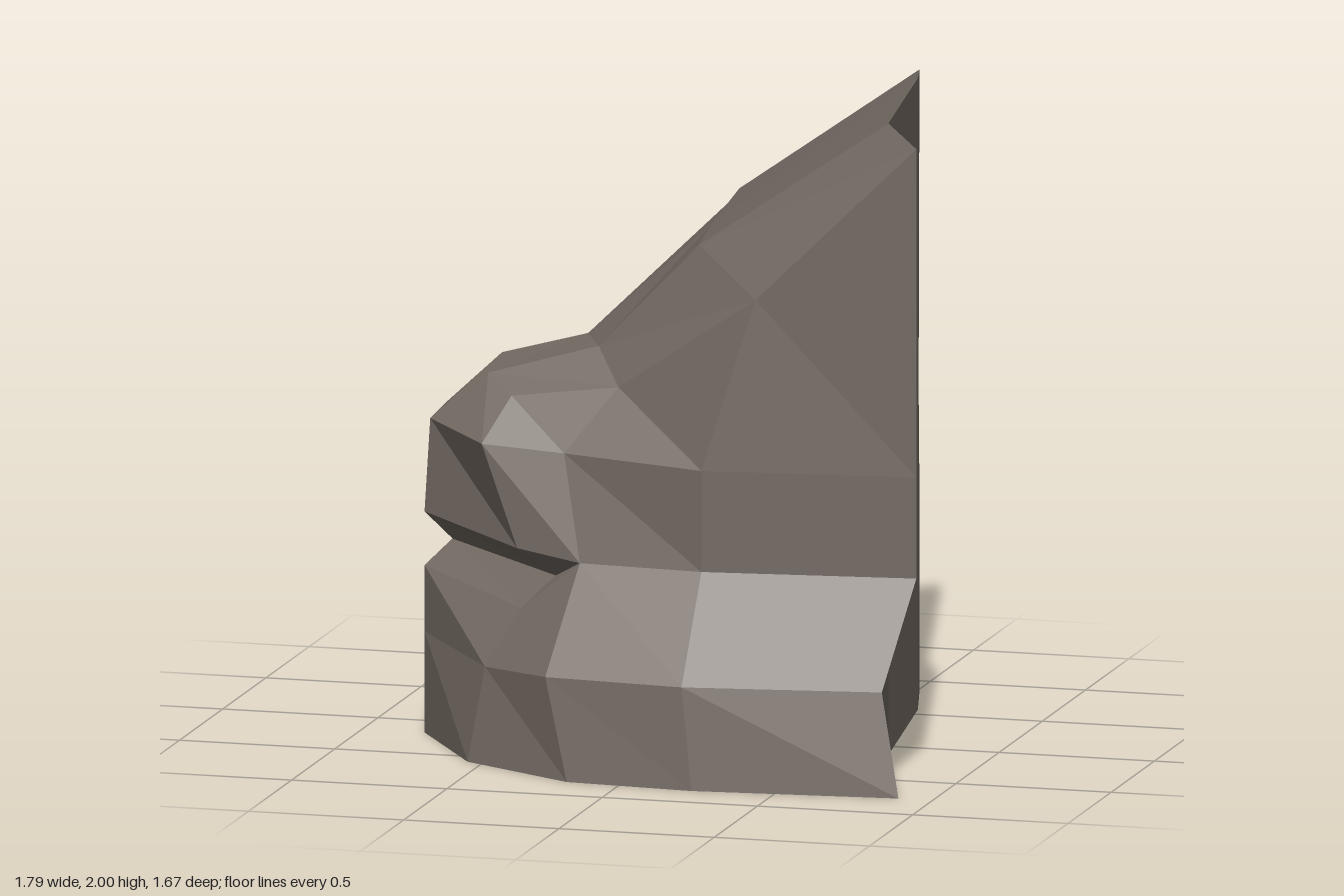
import * as THREE from 'three';

// Columns run round the rock from the front right corner, each listed bottom to top:
// ground, skirt, ledge rim, crevice, overhang lip, shoulder.
// A column with four entries has no crevice, so its middle levels coincide.
const columns = {
  A: [[.89, 0, .77], [.82, .32, .71], [.87, .64, .49], [.87, .96, .49]],
  B: [[.24, 0, .83], [.2, .32, .8], [.2, .64, .57], [.2, .96, .57]],
  C: [[-.17, 0, .8], [-.25, .32, .76], [-.2, .64, .54], [-.27, .97, .47]],
  D: [[-.55, 0, .58], [-.5, .3, .56], [-.4, .48, .5], [-.3, .58, .46], [-.41, .67, .51], [-.53, .99, .49]],
  E: [[-.8, 0, .18], [-.8, .32, .18], [-.8, .53, .18], [-.72, .61, .14], [-.8, .7, .18], [-.79, .99, .15]],
  F: [[-.83, 0, -.16], [-.84, .32, -.16], [-.83, .52, -.16], [-.74, .61, -.14], [-.83, .68, -.16], [-.81, .99, -.13]],
  G: [[-.9, 0, -.51], [-.68, .32, -.39], [-.68, .5, -.38], [-.6, .57, -.33], [-.7, .62, -.38], [-.68, 1, -.39]],
  H: [[-.7, 0, -.66], [-.5, .32, -.55], [-.5, .41, -.55], [-.4, .5, -.5], [-.5, .53, -.55], [-.5, 1.13, -.55]],
  I: [[-.15, 0, -.61], [-.15, .32, -.61], [-.15, .62, -.61], [-.15, 1.26, -.61]],
  J: [[-.08, 0, -.76], [-.08, .32, -.76], [-.08, .64, -.76], [-.08, .98, -.76]],
  K: [[.51, 0, -.84], [.51, .32, -.84], [.51, .64, -.84], [.51, .96, -.83]],
  L: [[.58, 0, -.57], [.58, .32, -.57], [.58, .64, -.57], [.58, .96, -.57]],
  M: [[.68, 0, .13], [.68, .32, .13], [.68, .64, .13], [.68, .96, .13]],
};

// Corners of the crown, above the shoulder
const crown = {
  aTop: [.87, 2, .49], mTop: [.68, 2, .13], lTop: [.58, 2, -.57], kTop: [.51, 1.97, -.84],
  brow: [.36, 1.5, .52], cheek: [-.12, 1.17, .38], lip: [-.47, 1.12, .36],
  n: [-.57, 1.17, .27], o: [-.6, 1.18, 0], r: [-.47, 1.17, -.19],
  s1: [-.22, 1.27, .25], s2: [-.33, 1.25, -.02], s3: [-.11, 1.27, -.32],
  t1: [.12, 1.62, .31], t2: [.07, 1.62, -.02], t3: [.02, 1.61, -.38], t4: [-.02, 1.6, -.66],
};

// Faces of the crown; a capital letter is the shoulder corner of that column
const crownFaces = [
  'A aTop brow B', 'B brow cheek C', 'C cheek lip D', 'D lip n', 'D n o E', 'E o F',
  'F o r G', 'G r H', 'brow t1 s1 cheek', 'cheek s1 n lip',
  'n s1 s2 o', 'o s2 s3 r', 'r s3 I H',
  's1 t1 t2 s2', 's2 t2 t3 s3', 's3 t3 t4 I',
  'aTop mTop t1 brow', 't1 mTop t2', 't2 mTop lTop t3', 't3 lTop kTop t4',
  'I t4 J', 'J t4 kTop K', 'K kTop lTop L', 'L lTop mTop M', 'M mTop aTop A',
];

export function createModel() {
  const positions = [];

  // Fans a polygon into triangles, skipping collapsed ones
  const face = (corners) => {
    const pts = corners.map((c) => new THREE.Vector3(...c));
    for (let i = 1; i < pts.length - 1; i++) {
      const tri = new THREE.Triangle(pts[0], pts[i], pts[i + 1]);
      if (tri.getArea() < 1e-6) continue;
      for (const v of [tri.a, tri.b, tri.c]) positions.push(v.x, v.y, v.z);
    }
  };

  const rings = Object.values(columns).map((c) =>
    c.length === 4 ? [c[0], c[1], c[2], c[2], c[2], c[3]] : c);

  // Walls from the ground to the shoulder
  rings.forEach((col, i) => {
    const next = rings[(i + 1) % rings.length];
    for (let k = 0; k < 5; k++) face([col[k], col[k + 1], next[k + 1], next[k]]);
  });

  // Crown with its ramp and side lump
  for (const f of crownFaces) {
    face(f.split(' ').map((key) => crown[key] ?? columns[key].at(-1)));
  }

  // Underside, fanned from the notch at the back
  const notch = Object.keys(columns).indexOf('I');
  face(rings.map((_, i) => rings[(notch + i) % rings.length][0]));

  const geometry = new THREE.BufferGeometry();
  geometry.setAttribute('position', new THREE.Float32BufferAttribute(positions, 3));
  geometry.computeVertexNormals();

  const stone = new THREE.MeshStandardMaterial({ color: 0x736a63, flatShading: true });
  stone.name = 'stone';
  const rock = new THREE.Mesh(geometry, stone);
  rock.name = 'rock';

  const group = new THREE.Group();
  group.name = 'boulder';
  group.add(rock);
  return group;
}
